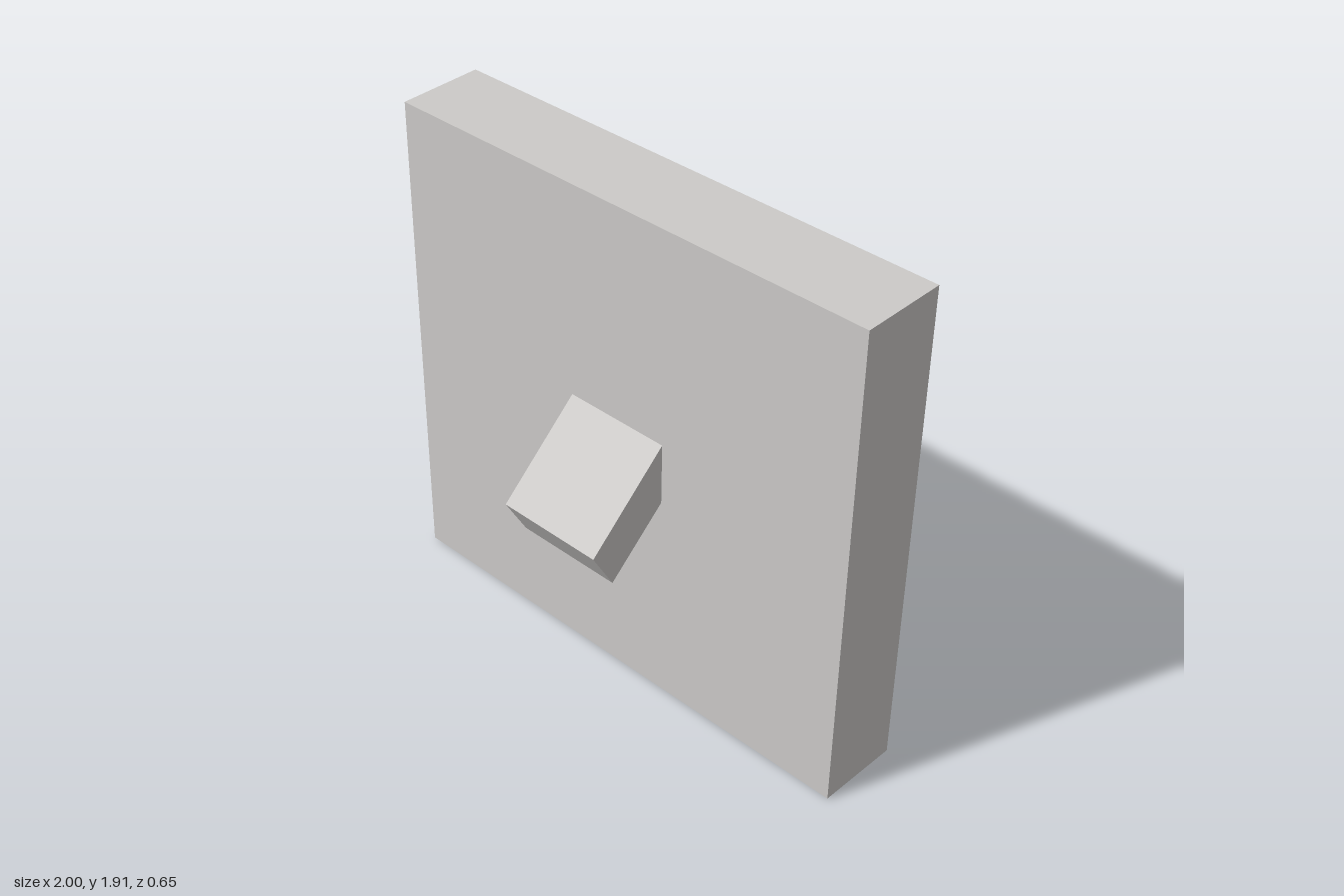
import * as THREE from 'three';

// rectangle loop, counter-clockwise from the front; z may differ at bottom and top
const rect = (w, y0, y1, z0, z1 = z0) => [[-w, y0, z0], [w, y0, z0], [w, y1, z1], [-w, y1, z1]];

// four outward walls joining a front loop to a back loop, with an optional front cap
function shell(front, back, capped) {
  const p = [];
  const quad = (a, b, c, d) => p.push(...a, ...b, ...c, ...a, ...c, ...d);
  for (let i = 0; i < 4; i++) {
    const j = (i + 1) % 4;
    quad(front[i], back[i], back[j], front[j]);
  }
  if (capped) quad(...front);
  const g = new THREE.BufferGeometry();
  g.setAttribute('position', new THREE.Float32BufferAttribute(p, 3));
  g.computeVertexNormals();
  return g;
}

export function createModel() {
  const group = new THREE.Group();
  const grey = new THREE.MeshStandardMaterial({ color: 0xcccac8, side: THREE.DoubleSide });
  grey.name = 'light grey';
  const add = (name, geometry) => {
    const mesh = new THREE.Mesh(geometry, grey);
    mesh.name = name;
    group.add(mesh);
  };
  const points = loop => loop.map(([x, y]) => new THREE.Vector2(x, y));

  const face = rect(1, 0.005, 1.91, 0);
  const opening = rect(0.21, 0.85, 1.09, 0);

  // front plate with the toggle opening
  const plate = new THREE.Shape(points(face));
  plate.holes.push(new THREE.Path(points(opening).reverse()));
  add('frontPlate', new THREE.ShapeGeometry(plate));

  // rim walls, open at the back and very slightly tapered
  add('rim', shell(face, rect(1, 0, 1.915, -0.325)));

  // hollow toggle, slanting down and forward
  add('toggle', shell(rect(0.21, 0.64, 0.795, 0.235, 0.325), opening, true));

  return group;
}
